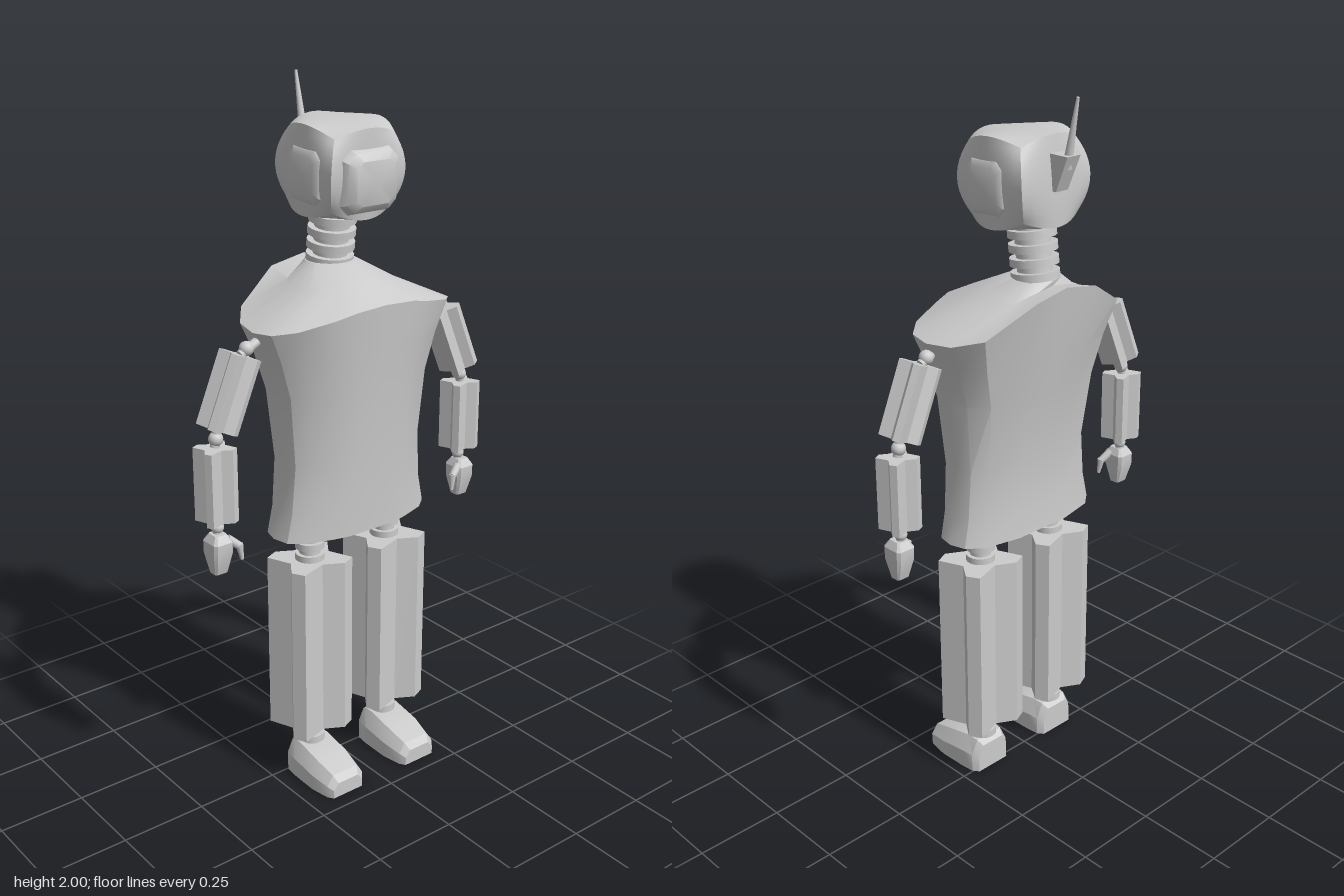
import * as THREE from 'three';
import { toCreasedNormals } from 'three/addons/utils/BufferGeometryUtils.js';

const material = new THREE.MeshStandardMaterial({ color: 0xcccccc });

function add(parent, name, geometry, x = 0, y = 0, z = 0) {
  const mesh = new THREE.Mesh(geometry, material);
  mesh.name = name;
  mesh.position.set(x, y, z);
  parent.add(mesh);
  return mesh;
}

function group(parent, name, x = 0, y = 0, z = 0) {
  const g = new THREE.Group();
  g.name = name;
  g.position.set(x, y, z);
  parent.add(g);
  return g;
}

// Skin closed rings (counter-clockwise seen from above, bottom to top) and cap both ends
function loft(rings, crease = 0.5) {
  const n = rings[0].length, pos = rings.flat(2), index = [];
  for (let i = 0; i < rings.length - 1; i++) {
    for (let j = 0; j < n; j++) {
      const a = i * n + j, b = i * n + (j + 1) % n;
      index.push(a, b, b + n, a, b + n, a + n);
    }
  }
  [0, rings.length - 1].forEach((r, top) => {
    const c = pos.length / 3;
    for (let k = 0; k < 3; k++) pos.push(rings[r].reduce((s, p) => s + p[k], 0) / n);
    for (let j = 0; j < n; j++) {
      const a = r * n + j, b = r * n + (j + 1) % n;
      index.push(c, ...(top ? [a, b] : [b, a]));
    }
  });
  const g = new THREE.BufferGeometry();
  g.setAttribute('position', new THREE.Float32BufferAttribute(pos, 3));
  g.setIndex(index);
  return toCreasedNormals(g, crease);
}

// Rectangle with cut corners
function cutRect(y, hx, hz, cut = 0.3, cx = 0, cz = 0) {
  const k = 1 - cut;
  return [[1, k], [1, -k], [k, -1], [-k, -1], [-1, -k], [-1, k], [-k, 1], [k, 1]]
    .map(([x, z]) => [cx + x * hx, y, cz + z * hz]);
}

// Limb casing: four lobes with a groove along each side
function casing(hx, hz, height) {
  const quarter = [[0.66, 0], [1, -0.55], [0.8, -0.95]];
  const section = [];
  for (let q = 0; q < 4; q++) {
    for (const [u, v] of quarter) {
      let p = [u, v];
      for (let k = 0; k < q; k++) p = [p[1], -p[0]];
      section.push(p);
    }
  }
  return loft([-0.5, 0.5].map(t => section.map(([x, z]) => [x * hx, t * height, z * hz])), 0.2);
}

function rod(parent, name, from, to, r0, r1 = r0) {
  const a = new THREE.Vector3(...from), b = new THREE.Vector3(...to), d = b.clone().sub(a);
  const mesh = add(parent, name, new THREE.CylinderGeometry(r1, r0, d.length(), 12));
  mesh.position.copy(a).add(b).multiplyScalar(0.5);
  mesh.quaternion.setFromUnitVectors(new THREE.Vector3(0, 1, 0), d.normalize());
  return mesh;
}

// Flexible joint: a core with evenly stacked discs
function ribbedJoint(parent, name, core, radius, height, count) {
  const g = group(parent, name);
  add(g, 'core', new THREE.CylinderGeometry(core, core, height, 20));
  for (let i = 0; i < count; i++) {
    const y = ((i + 0.5) / count - 0.5) * height;
    add(g, 'disc', new THREE.CylinderGeometry(radius, radius, height / count * 0.55, 20), 0, y);
  }
  return g;
}

// Torso: half section as [x, z, rim height], mirrored
function torso() {
  const back = [[1, 0.15, 1.385], [0.95, -0.3, 1.39], [0.78, -0.72, 1.41], [0.35, -1, 1.49]];
  const front = [[0.3, 1, 1.435], [0.5, 0.92, 1.42], [0.8, 0.74, 1.4], [0.96, 0.5, 1.39]];
  const flip = list => [...list].reverse().map(([x, z, y]) => [-x, z, y]);
  const section = [...back, [0, -1, 1.51], ...flip(back), ...flip(front), [0, 1, 1.44], ...front];
  const ring = (hw, zf, zb, y) =>
    section.map(([x, z, rim]) => [x * hw, y ?? rim, z > 0 ? z * zf : -z * zb]);
  const rim = ring(0.315, 0.19, -0.17);
  const inner = rim.map(([x, y, z]) => [x * 0.47, 1.465 + (y - 1.385) * 0.3, -0.04 + (z + 0.04) * 0.6]);
  const collar = rim.map(([x, , z]) => {
    const l = Math.hypot(x, z - 0.01);
    return [x / l * 0.07, 1.517, -0.05 + (z - 0.01) / l * 0.07];
  });
  return loft([
    ring(0.255, 0.14, -0.085, 0.78), ring(0.237, 0.143, -0.08, 0.86), ring(0.226, 0.15, -0.082, 1.0),
    ring(0.245, 0.165, -0.115, 1.2), ring(0.28, 0.177, -0.137, 1.31), rim, inner, collar,
  ], 0.52);
}

// Box with domed faces, sharp edges and corners drawn in
function domedBox(hx, hy, hz, pull, dome) {
  const g = new THREE.BoxGeometry(2, 2, 2, 12, 12, 12), p = g.attributes.position;
  for (let i = 0; i < p.count; i++) {
    const x = p.getX(i), y = p.getY(i), z = p.getZ(i);
    const bulge = (a, b, c) => a * (1 - pull * b * b * c * c + dome * (1 - b * b) * (1 - c * c));
    p.setXYZ(i, bulge(x, y, z) * hx, bulge(y, x, z) * hy, bulge(z, x, y) * hz);
  }
  g.computeVertexNormals();
  return g;
}

// Raised pad, rising along +y
function pad(hx, hz, height) {
  return loft([cutRect(0, hx, hz), cutRect(height * 0.6, hx * 0.9, hz * 0.9),
    cutRect(height, hx * 0.68, hz * 0.68)], 0.6);
}

function buildHead(root) {
  const head = group(root, 'head', 0.012, 1.775, -0.01);
  head.rotation.x = 0.06;
  add(head, 'skull', domedBox(0.123, 0.119, 0.12, 0.2, 0.05));
  add(head, 'facePad', pad(0.09, 0.085, 0.035), 0, -0.015, 0.117).rotation.x = Math.PI / 2;
  for (const s of [1, -1]) {
    add(head, 'earPad', pad(0.075, 0.07, 0.02), s * 0.117, -0.01, 0.01).rotation.z = -s * Math.PI / 2;
  }
  const neck = ribbedJoint(root, 'neck', 0.048, 0.066, 0.15, 4);
  neck.position.set(0.012, 1.578, -0.048);
  neck.rotation.x = 0.12;

  // Antenna on the back of the head
  const antenna = group(root, 'antenna', 0.012);
  add(antenna, 'bracket', loft([cutRect(1.76, 0.022, 0.012, 0.05, 0, -0.137),
    cutRect(1.855, 0.024, 0.032, 0.05, 0, -0.158)], 0.2));
  rod(antenna, 'aerial', [0, 1.82, -0.165], [0, 2.0, -0.2], 0.013, 0.004);
}

function buildArm(root, s) {
  const arm = group(root, s > 0 ? 'leftArm' : 'rightArm', 0, 0, 0.028);
  const top = [s * 0.345, 1.333, 0], bottom = [s * 0.423, 1.147, 0], elbow = [s * 0.432, 1.1, 0];
  rod(arm, 'shoulderRod', [s * 0.28, 1.365, 0], top, 0.013);
  add(arm, 'shoulderBall', new THREE.SphereGeometry(0.02, 14, 10), s * 0.325, 1.347);
  const upper = add(arm, 'upperArm', casing(0.047, 0.044, 0.205), s * 0.384, 1.24);
  upper.rotation.z = s * Math.atan2(0.078, 0.186);
  rod(arm, 'elbowRod', bottom, elbow, 0.013);
  add(arm, 'elbowBall', new THREE.SphereGeometry(0.02, 14, 10), s * 0.428, 1.122);
  add(arm, 'forearm', casing(0.048, 0.045, 0.208), s * 0.432, 0.995);
  rod(arm, 'wristRod', [s * 0.432, 0.9, 0], [s * 0.432, 0.84, 0], 0.013);
  add(arm, 'wristBall', new THREE.SphereGeometry(0.018, 14, 10), s * 0.432, 0.872);

  // Mitten hand with a hooked thumb on the inside
  const hand = group(arm, 'hand', s * 0.435, 0, 0.005);
  add(hand, 'palm', loft([cutRect(0.742, 0.02, 0.016, 0.25), cutRect(0.8, 0.03, 0.033, 0.25),
    cutRect(0.835, 0.03, 0.034, 0.25), cutRect(0.856, 0.018, 0.02, 0.25)], 0.3));
  const thumb = group(hand, 'thumb');
  rod(thumb, 'thumbBase', [-s * 0.02, 0.84, 0.015], [-s * 0.05, 0.815, 0.026], 0.013, 0.011);
  rod(thumb, 'thumbTip', [-s * 0.05, 0.82, 0.026], [-s * 0.056, 0.775, 0.03], 0.011, 0.005);
}

function buildLeg(root, s) {
  const leg = group(root, s > 0 ? 'leftLeg' : 'rightLeg', 0.01 + s * 0.136, 0, 0.028);
  ribbedJoint(leg, 'hipJoint', 0.03, 0.042, 0.11, 3).position.y = 0.735;
  add(leg, 'legCasing', casing(0.101, 0.09, 0.535), 0, 0.4225);
  ribbedJoint(leg, 'ankle', 0.028, 0.04, 0.08, 2).position.y = 0.13;

  // Foot with a sloping toe: lofted from heel to toe, then laid down
  const slice = (z, hx, h) => [[1, 0], [1, 0.55], [0.68, 1], [-0.68, 1], [-1, 0.55], [-1, 0]]
    .map(([x, y]) => [x * hx, z, -y * h]);
  const foot = loft([slice(-0.043, 0.055, 0.085), slice(-0.025, 0.068, 0.1), slice(0.01, 0.072, 0.103),
    slice(0.1, 0.074, 0.085), slice(0.16, 0.064, 0.065), slice(0.177, 0.052, 0.045)], 0.45);
  add(leg, 'foot', foot).rotation.x = Math.PI / 2;
}

export function createModel() {
  const root = new THREE.Group();
  root.name = 'robot';
  add(root, 'torso', torso(), 0.01);
  buildHead(root);
  for (const s of [1, -1]) {
    buildArm(root, s);
    buildLeg(root, s);
  }
  return root;
}
